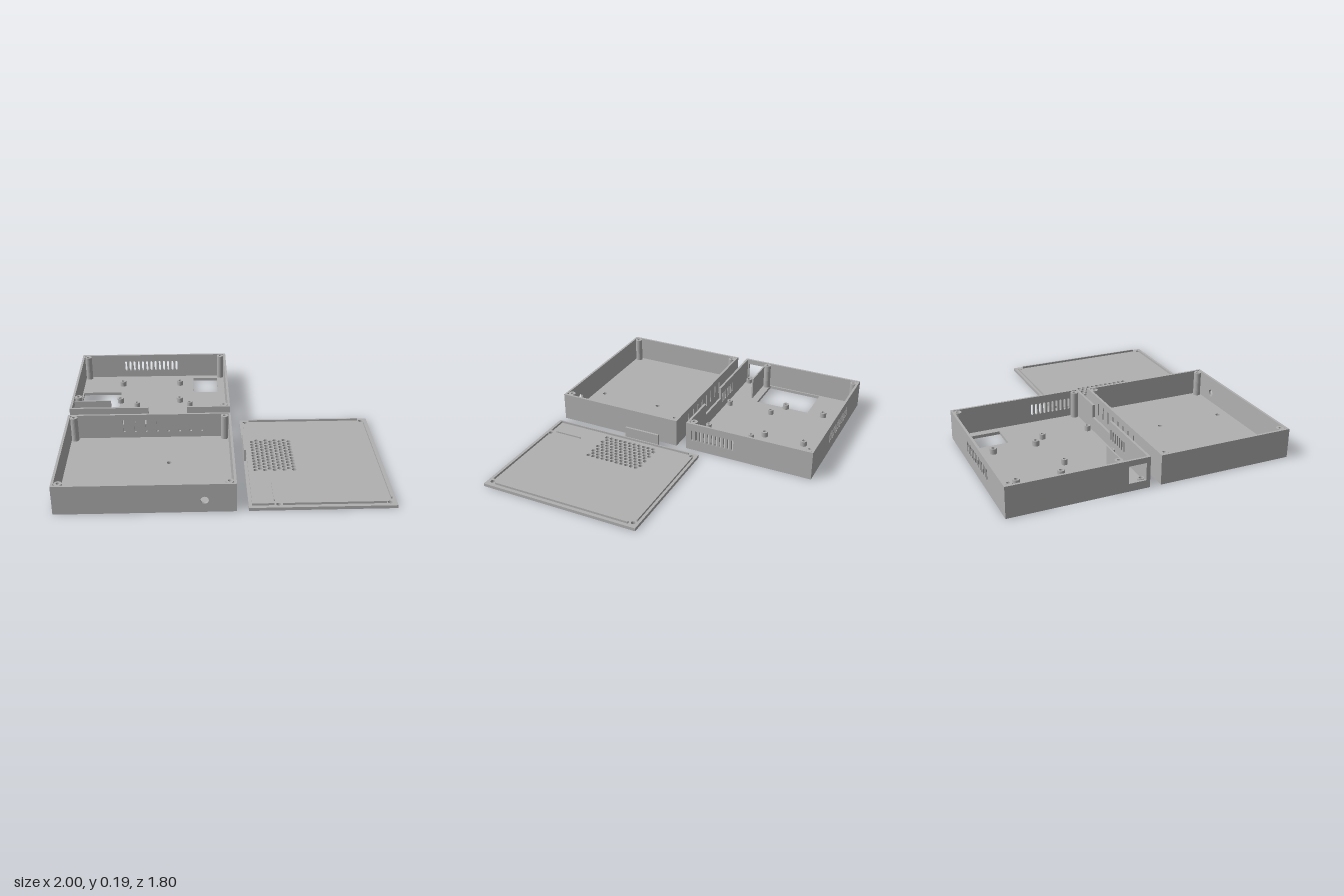
import * as THREE from 'three';

const grey = new THREE.MeshStandardMaterial({ color: 0xb0b0b0 });
grey.name = 'grey plastic';

const FLOOR = 0.02, WALL = 0.015;

// hole outlines
function circle(x, y, r) {
  return new THREE.Path().absarc(x, y, r, 0, Math.PI * 2, true);
}
function rect(x0, y0, x1, y1) {
  return new THREE.Path([[x0, y0], [x0, y1], [x1, y1], [x1, y0]].map(p => new THREE.Vector2(...p)));
}
function slot(x, y0, y1, w) {
  const r = w / 2, p = new THREE.Path();
  p.absarc(x, y0 + r, r, Math.PI, Math.PI * 2, false);
  p.absarc(x, y1 - r, r, 0, Math.PI, false);
  p.closePath();
  return p;
}
function slots(start, pitch, count, y0 = 0.07, y1 = 0.145) {
  return Array.from({ length: count }, (_, i) => slot(start + i * pitch, y0, y1, 0.015));
}
function panel(points, holes, depth) {
  const shape = new THREE.Shape(points.map(p => new THREE.Vector2(...p)));
  shape.holes.push(...holes);
  return new THREE.ExtrudeGeometry(shape, { depth, bevelEnabled: false, curveSegments: 10 });
}
const corners = (a, b, c, d) => [[a, b], [c, b], [c, d], [a, d]];

function add(group, name, geometry) {
  const mesh = new THREE.Mesh(geometry, grey);
  mesh.name = name;
  group.add(mesh);
}
// horizontal plate; its holes are drawn in (x, -z)
function plate(group, name, x0, x1, z0, z1, holes) {
  add(group, name, panel(corners(x0, -z1, x1, -z0), holes, FLOOR).rotateX(-Math.PI / 2));
}
// wall facing z, outlined in (x, y)
function wallZ(group, name, points, z, holes = []) {
  add(group, name, panel(points, holes, WALL).translate(0, 0, z));
}
// wall facing x, outlined in (z, y)
function wallX(group, name, points, x, holes = []) {
  add(group, name, panel(points, holes, WALL).rotateY(-Math.PI / 2).translate(x + WALL, 0, 0));
}
function box(group, name, x0, x1, y0, y1, z0, z1) {
  add(group, name, new THREE.BoxGeometry(x1 - x0, y1 - y0, z1 - z0)
    .translate((x0 + x1) / 2, (y0 + y1) / 2, (z0 + z1) / 2));
}
// hollow screw post
function post(group, name, x, z, r, bore, top) {
  const s = new THREE.Shape().absarc(0, 0, r, 0, Math.PI * 2, false);
  s.holes.push(circle(0, 0, bore));
  const g = new THREE.ExtrudeGeometry(s, { depth: top - FLOOR, bevelEnabled: false, curveSegments: 10 });
  add(group, name, g.rotateX(-Math.PI / 2).translate(x, FLOOR, z));
}

// tray with board standoffs, vents and cut-outs
function baseTray() {
  const g = new THREE.Group();
  g.name = 'baseTray';
  const x0 = -1, x1 = 0.06, z0 = -0.9, z1 = -0.035, h = 0.195;
  plate(g, 'baseFloor', x0, x1, z0, z1, [
    rect(-0.975, 0.24, -0.705, 0.62),
    rect(-0.18, 0.605, -0.005, 0.84),
  ]);
  wallZ(g, 'baseBackWall', corners(x0, FLOOR, x1, h), z0, slots(-0.685, 0.0315, 13));
  wallZ(g, 'baseFrontWall', [
    [x0, FLOOR], [x1, FLOOR], [x1, h], [-0.225, h], [-0.225, 0.11], [-0.48, 0.11], [-0.48, h], [x0, h],
  ], z1 - WALL, slots(-0.685, 0.03, 7));
  wallX(g, 'baseVentWall', corners(z0 + WALL, FLOOR, z1 - WALL, h), x1 - WALL, slots(-0.363, 0.0285, 11));
  wallX(g, 'baseSocketWall', corners(z0 + WALL, FLOOR, z1 - WALL, h), x0, [rect(-0.17, 0.05, -0.06, 0.16)]);
  box(g, 'socketDivider', -0.985, -0.74, FLOOR, 0.175, -0.19, -0.18);
  for (const [x, z] of [[-0.96, -0.865], [0.02, -0.865], [-0.96, -0.215], [0.02, -0.075]])
    post(g, 'baseCornerPost', x, z, 0.024, 0.01, h - 0.002);
  post(g, 'socketPost', -0.96, -0.075, 0.02, 0.012, 0.05);
  for (const [x, z] of [[-0.7, -0.735], [-0.28, -0.735], [-0.7, -0.46], [-0.28, -0.46]])
    post(g, 'boardStandoff', x, z, 0.022, 0.011, 0.055);
  for (const [x, z] of [[-0.58, -0.39], [-0.21, -0.39], [-0.58, -0.08], [-0.21, -0.08]])
    post(g, 'smallStandoff', x, z, 0.019, 0.009, 0.055);
  return g;
}

// plain tray with a cable hole and a vented back
function coverTray() {
  const g = new THREE.Group();
  g.name = 'coverTray';
  const x0 = -1, x1 = 0.06, z0 = 0.035, z1 = 0.9, h = 0.188;
  plate(g, 'coverFloor', x0, x1, z0, z1, [circle(-0.34, -0.38, 0.015), circle(-0.34, -0.815, 0.015)]);
  wallZ(g, 'coverBackWall', corners(x0, FLOOR, x1, h), z0, slots(-0.64, 0.073, 8, 0.06, 0.15));
  wallZ(g, 'coverFrontWall', corners(x0, FLOOR, x1, h), z1 - WALL, [circle(-0.125, 0.08, 0.024)]);
  for (const x of [x0, x1 - WALL])
    wallX(g, 'coverSideWall', corners(z0 + WALL, FLOOR, z1 - WALL, h), x);
  for (const x of [-0.96, 0.02])
    for (const z of [0.07, 0.86])
      post(g, 'coverCornerPost', x, z, 0.024, 0.01, h - 0.002);
  return g;
}

// flat lid with round vents, a locating lip and an upright tab
function lid() {
  const g = new THREE.Group();
  g.name = 'lid';
  const holes = [[0.165, -0.125], [0.957, -0.125], [0.305, 0.865], [0.957, 0.865]]
    .map(([x, z]) => circle(x, -z, 0.014));
  for (let c = 0; c < 9; c++)
    for (let r = 0; r < 11; r++)
      holes.push(circle(0.197 + c * 0.03, -(0.121 + (c % 2 ? 0 : 0.0175) + r * 0.0348), 0.0137));
  plate(g, 'lidPlate', 0.13, 1, -0.16, 0.9, holes);
  const t = 0.008, top = 0.034;
  box(g, 'lidLipLeft', 0.15, 0.15 + t, FLOOR, top, -0.1, 0.875);
  box(g, 'lidLipRight', 0.97, 0.97 + t, FLOOR, top, -0.1, 0.83);
  box(g, 'lidLipBack', 0.19, 0.935, FLOOR, top, -0.142, -0.142 + t);
  box(g, 'lidLipFront', 0.158, 0.28, FLOOR, top, 0.867, 0.867 + t);
  box(g, 'lidLipFront', 0.33, 0.935, FLOOR, top, 0.867, 0.867 + t);
  box(g, 'lidRib', 0.28, 0.286, FLOOR, 0.03, 0.64, 0.83);
  box(g, 'lidTab', 0.13, 0.143, FLOOR, 0.1, 0.13, 0.375);
  return g;
}

export function createModel() {
  const model = new THREE.Group();
  model.name = 'electronicsEnclosure';
  model.add(baseTray(), coverTray(), lid());
  return model;
}
